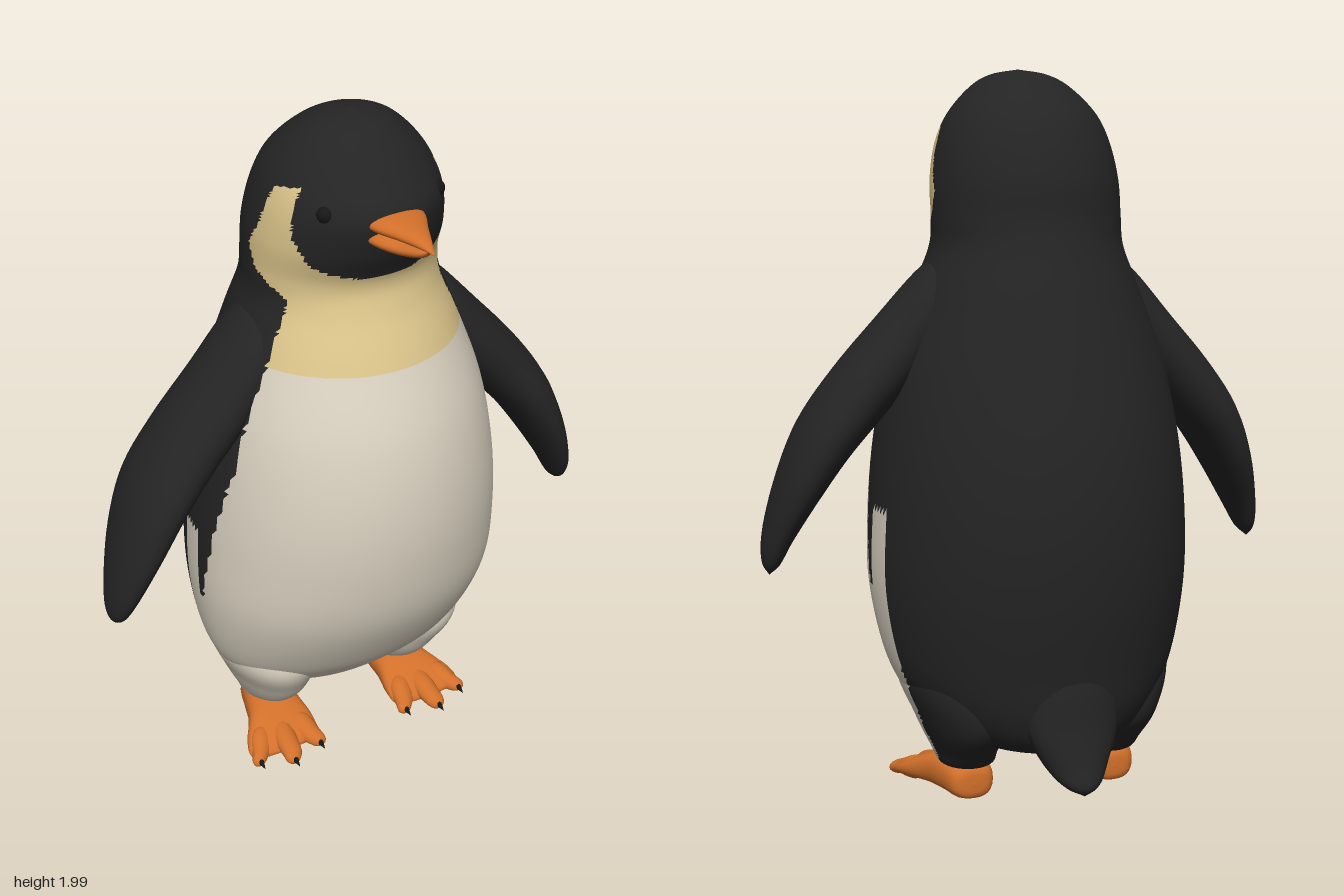
import * as THREE from 'three';

const mat = (name, color) => Object.assign(new THREE.MeshStandardMaterial({ color }), { name });

// Smooth loft through rows [x, y, z, radius along +U, radius along -U, radius across].
// The direction T may be fixed; otherwise it follows the path. paint(point) picks a material index.
function loft(name, rows, U, materials, { T = null, rings = 24, sides = 24, paint = null, ease = (t) => t, square = 1 } = {}) {
  const last = rows.length - 1;
  const curve = new THREE.CubicInterpolant(rows.map((r, i) => i), rows.flat(), 6, new Float32Array(6));
  const at = (t) => Array.from(curve.evaluate(THREE.MathUtils.clamp(t, 0, 1) * last));
  const shape = (v) => Math.sign(v) * Math.pow(Math.abs(v), square);
  const pts = [];
  for (let i = 0; i <= rings; i++) {
    const t = ease(i / rings);
    const [x, y, z, ap, am, b] = at(t);
    const c = new THREE.Vector3(x, y, z);
    let dir = T;
    if (!dir) {
      const p = at(t - 0.01), q = at(t + 0.01);
      dir = new THREE.Vector3(q[0] - p[0], q[1] - p[1], q[2] - p[2]).normalize();
    }
    const V = new THREE.Vector3().crossVectors(dir, U).normalize();
    for (let j = 0; j < sides; j++) {
      const a = (j / sides) * Math.PI * 2, cu = shape(Math.cos(a)), sv = shape(Math.sin(a));
      pts.push(c.clone().addScaledVector(U, cu * Math.max(0, cu > 0 ? ap : am)).addScaledVector(V, sv * Math.max(0, b)));
    }
  }
  const lists = materials.map(() => []);
  const mid = new THREE.Vector3();
  const tri = (a, b, c) => {
    mid.copy(pts[a]).add(pts[b]).add(pts[c]).divideScalar(3);
    lists[paint ? paint(mid) : 0].push(a, b, c);
  };
  for (let i = 0; i < rings; i++) {
    for (let j = 0; j < sides; j++) {
      const k = (j + 1) % sides;
      const a = i * sides + j, b = i * sides + k, c = b + sides, d = a + sides;
      tri(a, b, c);
      tri(a, c, d);
    }
  }
  const geo = new THREE.BufferGeometry().setFromPoints(pts);
  geo.setIndex(lists.flat());
  let start = 0;
  lists.forEach((l, i) => { geo.addGroup(start, l.length, i); start += l.length; });
  geo.computeVertexNormals();
  const mesh = new THREE.Mesh(geo, materials.length > 1 ? materials : materials[0]);
  mesh.name = name;
  return mesh;
}

// Piecewise linear lookup in [[key, value], ...]
function lookup(table, k) {
  if (k <= table[0][0]) return table[0][1];
  for (let i = 1; i < table.length; i++) {
    const [k0, v0] = table[i - 1], [k1, v1] = table[i];
    if (k <= k1) return v0 + ((v1 - v0) * (k - k0)) / (k1 - k0);
  }
  return table[table.length - 1][1];
}

export function createModel() {
  const group = new THREE.Group();
  group.name = 'penguin';
  const black = mat('blackFeathers', 0x242424);
  const white = mat('whiteBelly', 0xd9d1c0);
  const cream = mat('creamBib', 0xdcc58b);
  const orange = mat('orangeSkin', 0xd2702a);
  const dark = mat('darkEyeAndClaw', 0x161616);
  const X = new THREE.Vector3(1, 0, 0), Y = new THREE.Vector3(0, 1, 0), Z = new THREE.Vector3(0, 0, 1);

  // Plumage markings: 0 black, 1 white, 2 cream
  const patchBack = [[1.38, 0.14], [1.55, 0.13], [1.61, 0.03], [1.67, 0], [1.73, 0.04], [1.84, 0.07], [1.86, 0.15]];
  const patchFront = [[1.61, 1], [1.62, 0.24], [1.66, 0.195], [1.74, 0.155], [1.85, 0.15]];
  const flank = [[0.6, 0.02], [1.1, 0.14]];
  const paint = ({ y, z }) => {
    if (y > 1.38) return y < 1.86 && z > lookup(patchBack, y) && z < lookup(patchFront, y) ? 2 : 0;
    if (z < -0.1) return 0;
    if (y > 0.6 && z < lookup(flank, y) && (z > 0 || y > 0.82)) return 0;
    return 1;
  };

  // Body and head: [height, centre z, front z, back z, half width]
  const profile = [
    [0.15, -0.12, -0.12, -0.12, 0], [0.16, -0.12, 0, -0.27, 0.14], [0.2, -0.1, 0.08, -0.35, 0.25],
    [0.28, -0.05, 0.165, -0.39, 0.345], [0.4, -0.02, 0.265, -0.41, 0.41], [0.6, 0, 0.375, -0.44, 0.447],
    [0.8, 0, 0.42, -0.447, 0.445], [1.0, 0, 0.425, -0.425, 0.425], [1.2, 0, 0.39, -0.375, 0.385],
    [1.4, 0, 0.31, -0.315, 0.315], [1.52, 0, 0.255, -0.275, 0.268], [1.6, 0, 0.24, -0.255, 0.262],
    [1.7, 0.01, 0.285, -0.245, 0.258], [1.8, 0.02, 0.305, -0.215, 0.238], [1.88, 0.03, 0.255, -0.17, 0.203],
    [1.95, 0.045, 0.19, -0.09, 0.14], [1.985, 0.055, 0.135, -0.02, 0.08], [2.0, 0.06, 0.06, 0.06, 0],
  ];
  group.add(loft('bodyAndHead', profile.map(([y, c, f, b, w]) => [0, y, c, f - c, c - b, w]), Z,
    [black, white, cream], { T: Y, rings: 220, sides: 144, paint, ease: (t) => Math.sin((t * Math.PI) / 2) }));

  // Tail
  group.add(loft('tail', [
    [0, 0.095, -0.445, 0, 0, 0], [0, 0.12, -0.42, 0.05, 0.045, 0.05], [0, 0.17, -0.38, 0.13, 0.07, 0.09],
    [0, 0.27, -0.35, 0.15, 0.077, 0.13], [0, 0.42, -0.3, 0.1, 0.1, 0.13], [0, 0.55, -0.3, 0, 0, 0],
  ], Z, [black], { T: Y }));

  // Beak halves
  for (const [name, y, h, tip] of [['upperBeak', 1.79, 0.026, 0.467], ['lowerBeak', 1.752, 0.026, 0.445]]) {
    group.add(loft(name, [
      [0, y, 0.24, 0.08, 0.08, h], [0, y, 0.3, 0.075, 0.075, h], [0, y - 0.002, 0.36, 0.047, 0.047, h * 0.8],
      [0, 1.775 + (y - 1.775) * 0.6, 0.42, 0.021, 0.021, h * 0.5], [0, 1.774, tip, 0, 0, 0],
    ], X, [orange], { T: Z }));
  }

  for (const s of [1, -1]) {
    const side = s > 0 ? 'left' : 'right';

    // Flipper
    group.add(loft(side + 'Flipper', [
      [s * 0.2, 1.51, 0, 0.05, 0.05, 0.03], [s * 0.25, 1.42, 0, 0.12, 0.11, 0.07],
      [s * 0.36, 1.27, 0.01, 0.135, 0.13, 0.09], [s * 0.475, 1.14, 0.015, 0.14, 0.14, 0.09],
      [s * 0.57, 1.02, 0.02, 0.15, 0.145, 0.08], [s * 0.64, 0.89, 0.035, 0.13, 0.13, 0.062],
      [s * 0.695, 0.76, 0.05, 0.085, 0.085, 0.042], [s * 0.718, 0.68, 0.05, 0.045, 0.045, 0.025],
      [s * 0.724, 0.645, 0.045, 0, 0, 0],
    ], Z, [black], { rings: 40 }));

    // Feathered leg
    group.add(loft(side + 'Leg', [
      [s * 0.21, 0.1, -0.09, 0, 0, 0], [s * 0.21, 0.105, -0.09, 0.07, 0.08, 0.07],
      [s * 0.215, 0.15, -0.08, 0.14, 0.14, 0.09], [s * 0.22, 0.24, -0.07, 0.2, 0.22, 0.125],
      [s * 0.24, 0.36, -0.04, 0.22, 0.24, 0.145], [s * 0.24, 0.5, -0.04, 0.15, 0.15, 0.12],
      [s * 0.24, 0.58, -0.04, 0, 0, 0],
    ], Z, [black, white], { T: Y, rings: 48, sides: 64, paint: (p) => (p.z < -0.1 ? 0 : 1) }));

    // Foot
    group.add(loft(side + 'Foot', [
      [s * 0.21, 0.055, -0.16, 0, 0, 0], [s * 0.21, 0.058, -0.15, 0.055, 0.055, 0.045],
      [s * 0.215, 0.065, -0.08, 0.075, 0.075, 0.055], [s * 0.225, 0.06, 0, 0.088, 0.088, 0.052],
      [s * 0.24, 0.043, 0.07, 0.112, 0.112, 0.035], [s * 0.248, 0.027, 0.12, 0.105, 0.105, 0.016],
      [s * 0.25, 0.023, 0.135, 0, 0, 0],
    ], X, [orange], { T: Z, square: 0.8 }));

    // Toes and claws
    for (const [x0, x1, z1] of [[0.175, 0.15, 0.16], [0.24, 0.25, 0.19], [0.305, 0.345, 0.15]]) {
      group.add(loft(side + 'Toe', [
        [s * x0, 0.05, 0.02, 0, 0, 0], [s * x0, 0.045, 0.06, 0.035, 0.035, 0.035],
        [s * (x0 + x1) / 2, 0.034, z1 - 0.04, 0.031, 0.031, 0.025],
        [s * x1, 0.025, z1 - 0.01, 0.022, 0.022, 0.018], [s * x1, 0.022, z1 + 0.005, 0, 0, 0],
      ], X, [orange], { T: Z, rings: 16, sides: 14 }));
      const claw = new THREE.Mesh(new THREE.ConeGeometry(0.014, 0.045, 10), dark);
      claw.name = side + 'Claw';
      claw.rotation.x = Math.PI / 2 + 0.15;
      claw.position.set(s * x1, 0.026, z1 + 0.003);
      group.add(claw);
    }

    // Eye
    const eye = new THREE.Mesh(new THREE.SphereGeometry(0.022, 16, 12), dark);
    eye.name = side + 'Eye';
    eye.position.set(s * 0.157, 1.81, 0.215);
    group.add(eye);
  }
  return group;
}
